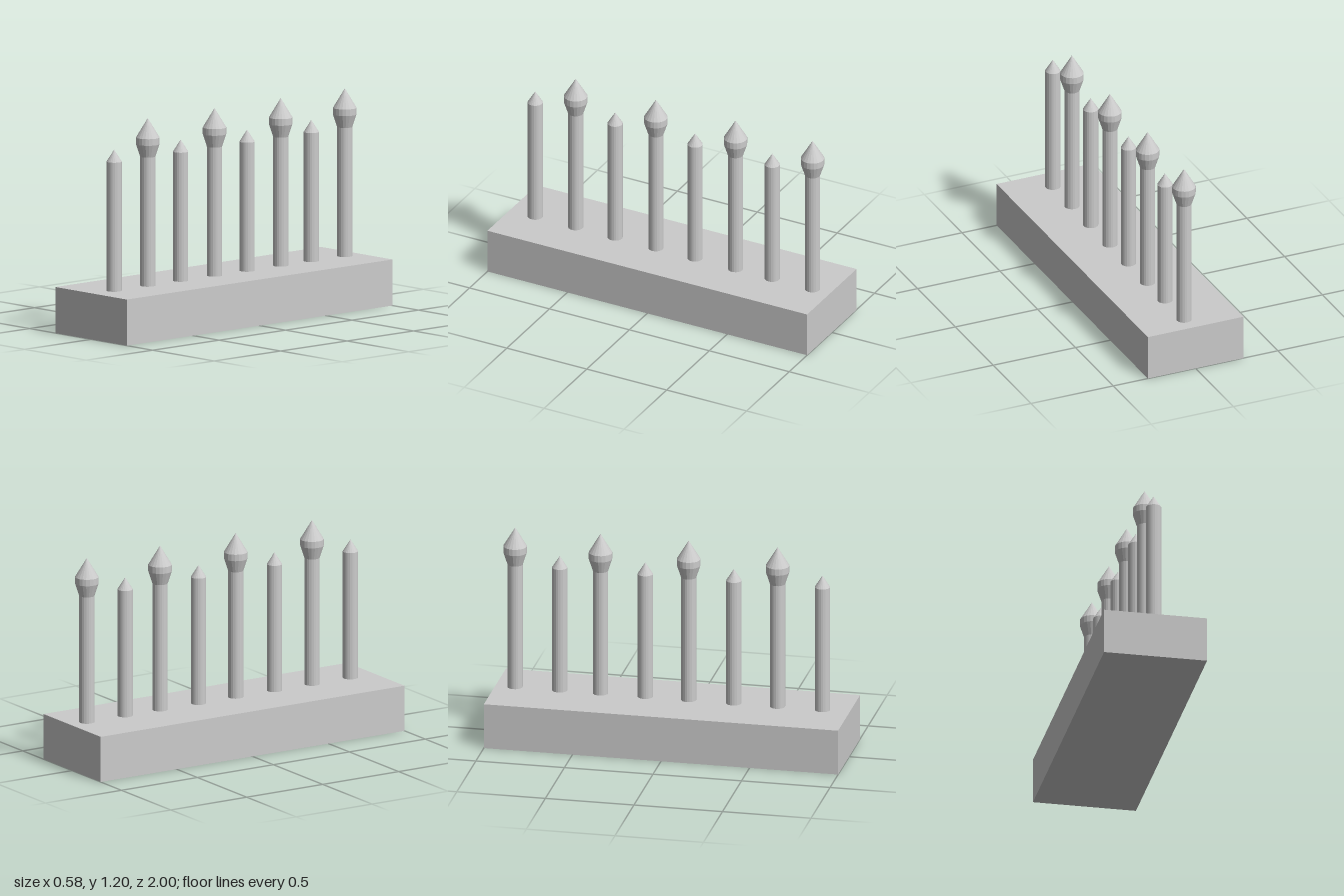
import * as THREE from 'three';

const BASE = { width: 0.58, height: 0.258, length: 2 };
const ROW_X = 0.02;
const SIDES = 20;
const POLE_R = 0.0425;
const POLE_TOP = 0.98;

// Outer profiles [radius, height] of the two tips
const plainTip = [[POLE_R, POLE_TOP], [0, 1.047]];
const spearTip = [[POLE_R, POLE_TOP], [0.0655, 1.05], [0.0655, 1.087], [0, 1.195]];

export function createModel() {
  const model = new THREE.Group();
  const material = new THREE.MeshStandardMaterial({ color: 0xcccccc, flatShading: true });

  function add(parent, name, geometry) {
    const mesh = new THREE.Mesh(geometry, material);
    mesh.name = name;
    parent.add(mesh);
    return mesh;
  }

  // Long plinth
  add(model, 'base', new THREE.BoxGeometry(BASE.width, BASE.height, BASE.length))
    .position.y = BASE.height / 2;

  // One picket: round pole plus turned tip
  function addPicket(name, profile, z) {
    const picket = new THREE.Group();
    picket.name = name;
    picket.position.set(ROW_X, 0, z);
    const length = POLE_TOP - BASE.height;
    add(picket, 'pole', new THREE.CylinderGeometry(POLE_R, POLE_R, length, SIDES, 1, true))
      .position.y = BASE.height + length / 2;
    const points = profile.map(([r, y]) => new THREE.Vector2(r, y));
    add(picket, 'tip', new THREE.LatheGeometry(points, SIDES));
    model.add(picket);
  }

  // Short plain pickets alternate with tall spear-headed ones, front to back
  [0.845, 0.345, -0.155, -0.638].forEach((z) => addPicket('plainPicket', plainTip, z));
  [0.592, 0.09, -0.408, -0.89].forEach((z) => addPicket('spearPicket', spearTip, z));

  return model;
}
